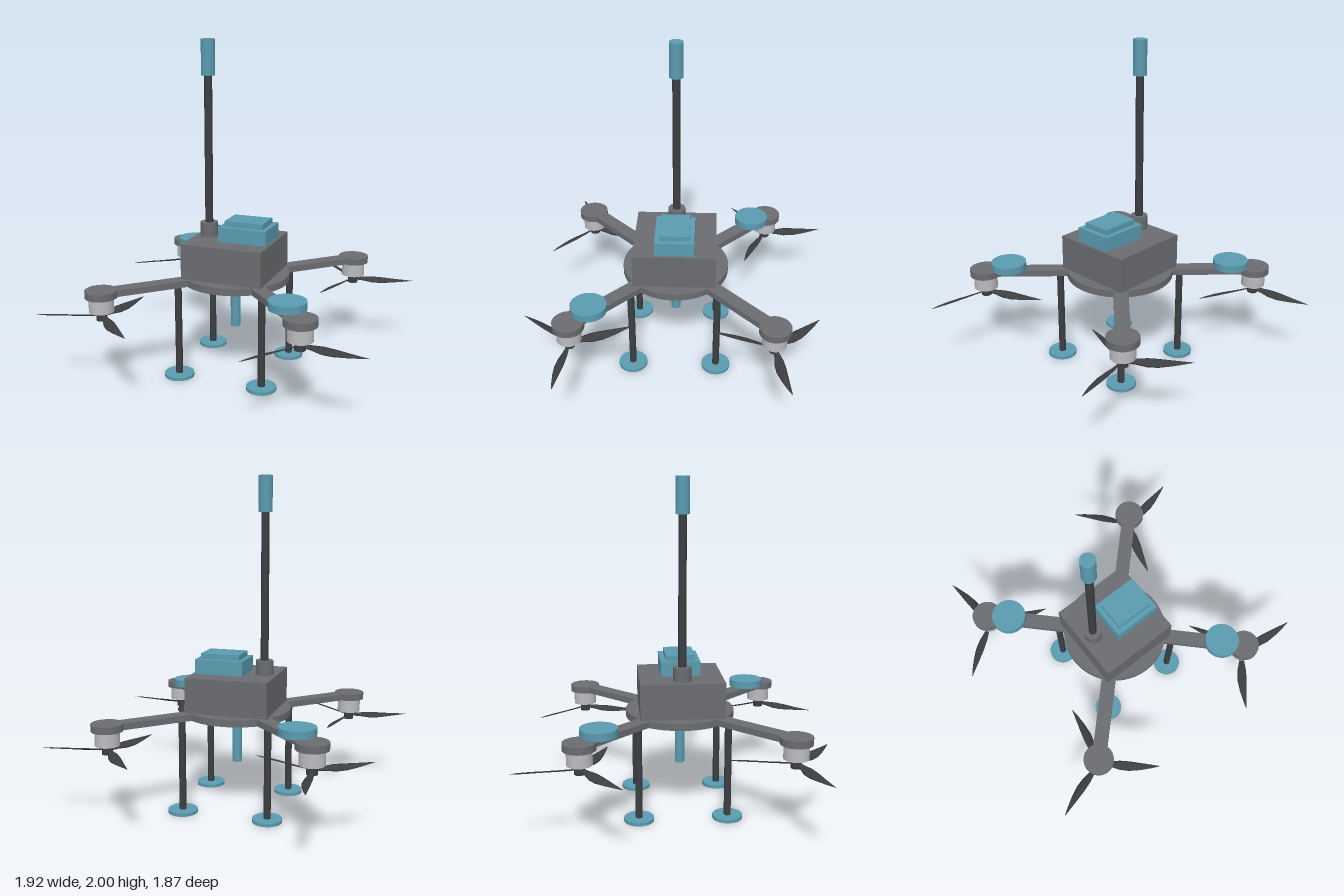
import * as THREE from 'three';

const gray = new THREE.MeshStandardMaterial({ color: 0x6a6c70 }); gray.name = 'frame gray';
const dark = new THREE.MeshStandardMaterial({ color: 0x3c3e41, side: THREE.DoubleSide }); dark.name = 'dark carbon';
const blue = new THREE.MeshStandardMaterial({ color: 0x5a9bb0 }); blue.name = 'accent blue';
const silver = new THREE.MeshStandardMaterial({ color: 0xbcbcc0 }); silver.name = 'motor silver';

function add(parent, name, geometry, material, x = 0, y = 0, z = 0) {
  const mesh = new THREE.Mesh(geometry, material);
  mesh.name = name;
  mesh.position.set(x, y, z);
  parent.add(mesh);
  return mesh;
}

// Upright cylinder and box given by their bottom and top heights
function post(parent, name, material, r, y0, y1, x = 0, z = 0, sides = 40) {
  return add(parent, name, new THREE.CylinderGeometry(r, r, y1 - y0, sides), material, x, (y0 + y1) / 2, z);
}
function block(parent, name, material, w, d, y0, y1, x = 0, z = 0) {
  return add(parent, name, new THREE.BoxGeometry(w, y1 - y0, d), material, x, (y0 + y1) / 2, z);
}

// Twisted blade along +x: a thin lens section swept through stations
function bladeGeometry() {
  // radius, trailing edge z, leading edge z, pitch
  const stations = [
    [0.02, -0.013, 0.013, 0.5], [0.07, -0.016, 0.02, 0.48], [0.13, -0.022, 0.036, 0.42],
    [0.19, -0.02, 0.04, 0.34], [0.26, -0.013, 0.031, 0.26], [0.33, -0.006, 0.016, 0.19],
    [0.38, -0.001, 0.002, 0.15],
  ];
  const positions = [], index = [];
  for (const [r, back, front, pitch] of stations) {
    const mid = (back + front) / 2, half = (front - back) / 2;
    for (let k = 0; k < 8; k++) {
      const a = (k / 8) * Math.PI * 2;
      const z = mid + Math.cos(a) * half, y = Math.sin(a) * Math.min(0.004, half * 0.3);
      positions.push(r, y * Math.cos(pitch) - z * Math.sin(pitch), y * Math.sin(pitch) + z * Math.cos(pitch));
    }
  }
  for (let i = 0; i < stations.length - 1; i++) {
    for (let k = 0; k < 8; k++) {
      const a = i * 8 + k, b = i * 8 + (k + 1) % 8;
      index.push(a, a + 8, b, b, a + 8, b + 8);
    }
  }
  const g = new THREE.BufferGeometry();
  g.setAttribute('position', new THREE.Float32BufferAttribute(positions, 3));
  g.setIndex(index);
  g.computeVertexNormals();
  return g;
}

export function createModel() {
  const model = new THREE.Group();
  model.name = 'drone';
  const body = new THREE.Group();
  body.name = 'body';
  body.position.set(-0.01, 0, 0.032);
  model.add(body);

  // Central plate, housing and stacked top module
  post(body, 'centralPlate', gray, 0.328, 0.569, 0.611, 0, 0, 64);
  block(body, 'housing', gray, 0.5, 0.5, 0.61, 0.824);
  block(body, 'moduleBase', blue, 0.298, 0.238, 0.823, 0.913, 0.083, 0);
  block(body, 'moduleLid', blue, 0.24, 0.176, 0.912, 0.946, 0.083, 0);

  // Antenna mast
  post(body, 'mastSocket', gray, 0.053, 0.823, 0.91, -0.171);
  post(body, 'mast', dark, 0.024, 0.9, 1.8, -0.171);
  post(body, 'mastTip', blue, 0.041, 1.79, 2.0, -0.171);

  // Probe hanging under the plate
  post(body, 'probe', blue, 0.03, 0.265, 0.575);

  // Legs with round feet
  for (const sx of [-1, 1]) for (const sz of [-1, 1]) {
    post(body, 'leg', dark, 0.021, 0.015, 0.575, sx * 0.263, sz * 0.263);
    post(body, 'foot', blue, 0.089, 0, 0.02, sx * 0.263, sz * 0.263);
  }

  // Arms with motors and three-bladed propellers: side x, side z, propeller angle
  const blade = bladeGeometry();
  const reach = 0.592;
  for (const [sx, sz, angle] of [[-1, -1, 23], [1, -1, 108.4], [-1, 1, 41], [1, 1, 6]]) {
    const arm = block(body, 'arm', gray, 0.6, 0.088, 0.571, 0.609, sx * 0.385, sz * 0.385);
    arm.rotation.y = -Math.atan2(sz, sx);

    const rotor = new THREE.Group();
    rotor.name = 'rotor';
    rotor.position.set(sx * reach, 0, sz * reach);
    body.add(rotor);
    post(rotor, 'motorMount', gray, 0.093, 0.569, 0.611);
    post(rotor, 'motor', silver, 0.072, 0.484, 0.57);
    post(rotor, 'propellerHub', dark, 0.031, 0.431, 0.485, 0, 0, 24);
    for (let i = 0; i < 3; i++) {
      const mesh = add(rotor, 'propellerBlade', blade, dark, 0, 0.457, 0);
      mesh.rotation.y = -(angle + i * 120) * Math.PI / 180;
    }
  }

  // Round sensor pods on two opposite arms
  for (const s of [-1, 1]) post(body, 'sensorPod', blue, 0.107, 0.609, 0.655, s * 0.487, s * 0.487, 48);

  return model;
}
